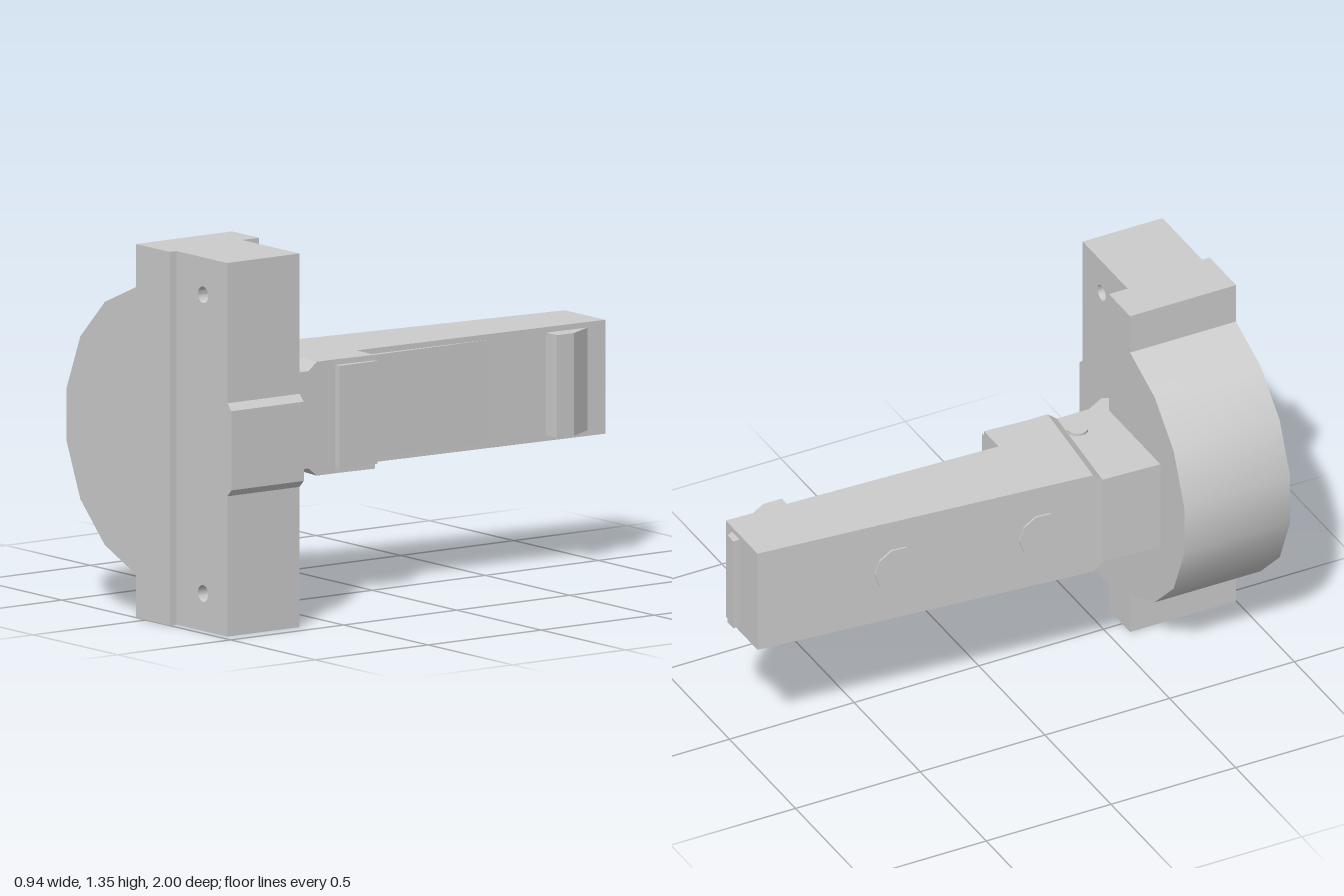
import * as THREE from 'three';
import { toCreasedNormals } from 'three/addons/utils/BufferGeometryUtils.js';

const shapeOf = (pts) => new THREE.Shape(pts.map(([x, y]) => new THREE.Vector2(x, y)));

// Front outline (x, y) extruded between two depths
function slab(shape, z0, z1) {
  const g = new THREE.ExtrudeGeometry(shape, { depth: z1 - z0, bevelEnabled: false, curveSegments: 12 });
  return g.translate(0, 0, z0);
}

// Plan outline (x, z) extruded between two heights
function prism(pts, y0, y1) {
  const g = slab(shapeOf(pts.map(([x, z]) => [x, -z])), y0, y1);
  return g.rotateX(-Math.PI / 2);
}

export function createModel() {
  const group = new THREE.Group();
  const material = new THREE.MeshStandardMaterial({ color: 0xcccccc });
  const add = (name, geometry) => {
    const mesh = new THREE.Mesh(geometry, material);
    mesh.name = name;
    group.add(mesh);
    return mesh;
  };

  // Mounting base: tall plate joined to a rounded half disc
  const halfDisc = shapeOf([
    [0.1, 0], [0.1, 1.345], [-0.06, 1.345], [-0.06, 1.19], [-0.245, 1.11], [-0.39, 0.965],
    [-0.47, 0.77], [-0.47, 0.575], [-0.39, 0.38], [-0.245, 0.235], [-0.06, 0.155], [-0.06, 0],
  ]);
  add('baseBody', toCreasedNormals(slab(halfDisc, 0.575, 1), 0.42));
  add('raisedFrontStrip', slab(shapeOf([[0.1, 0], [0.14, 0], [0.14, 1.345], [0.1, 1.345]]), 0.65, 1));

  // Recessed flange with side nub and two screw holes
  const flange = shapeOf([
    [0.1, 0], [0.44, 0], [0.44, 0.505], [0.465, 0.53], [0.465, 0.815],
    [0.44, 0.84], [0.44, 1.345], [0.1, 1.345],
  ]);
  for (const y of [0.135, 1.21]) {
    flange.holes.push(new THREE.Path().absarc(0.297, y, 0.03, 0, Math.PI * 2, true));
  }
  add('screwFlange', toCreasedNormals(slab(flange, 0.65, 0.97), 0.6));

  // Tapered arm
  add('arm', prism([
    [-0.165, -0.975], [0.075, -0.975], [0.04, 0.1], [0.15, 0.1],
    [0.14, 0.27], [0.14, 0.35], [-0.28, 0.31],
  ], 0.47, 0.88));

  // Sloped shoulder: the side next to the base is pulled in to neck height
  const shoulder = prism([[-0.28, 0.31], [0.14, 0.35], [0.14, 0.387], [-0.283, 0.347]], 0.47, 0.88);
  const p = shoulder.attributes.position;
  for (let i = 0; i < p.count; i++) {
    if (p.getZ(i) - 0.095 * p.getX(i) > 0.355) p.setY(i, p.getY(i) > 0.6 ? 0.85 : 0.5);
  }
  shoulder.computeVertexNormals();
  add('armShoulder', shoulder);

  add('armNeck', prism([
    [-0.28, 0.33], [0.14, 0.37], [0.14, 0.535], [0.1, 0.58], [-0.29, 0.58],
  ], 0.5, 0.85));

  // Hinge pin through the neck
  const pin = new THREE.CylinderGeometry(0.038, 0.038, 0.37, 24);
  add('hingePin', pin).position.set(0.04, 0.675, 0.417);

  // Inner side details
  add('sidePanel', prism([[0, -0.5], [0.061, -0.46], [0.061, 0.1], [0, 0.1]], 0.49, 0.86));
  add('sideBlock', prism([[0.1, 0.1], [0.165, 0.1], [0.165, 0.267], [0.1, 0.267]], 0.49, 0.86));
  add('endCatch', prism([[0.03, -0.9], [0.072, -0.9], [0.132, -0.795], [0.132, -0.72], [0.03, -0.72]], 0.49, 0.86));
  add('endRib', prism([[-0.03, -1], [0.015, -1], [0.03, -0.97], [-0.03, -0.97]], 0.49, 0.86));

  // Wedge-shaped latch tongue with a narrower tip
  add('latchTongue', prism([[0.1, 0.465], [0.14, 0.465], [0.222, 0.612], [0.2, 0.65], [0.1, 0.65]], 0.53, 0.82));
  add('latchTip', prism([[0.1, 0.5], [0.16, 0.5], [0.242, 0.65], [0.1, 0.65]], 0.565, 0.785));

  // Flat button discs on the sloping outer side
  for (const z of [-0.435, 0.118]) {
    const disc = new THREE.CylinderGeometry(0.092, 0.092, 0.03, 10).toNonIndexed();
    disc.computeVertexNormals();
    disc.rotateZ(Math.PI / 2).rotateY(-0.089);
    add('buttonDisc', disc).position.set(-0.165 - 0.0895 * (z + 0.975) + 0.008, 0.675, z);
  }

  return group;
}
